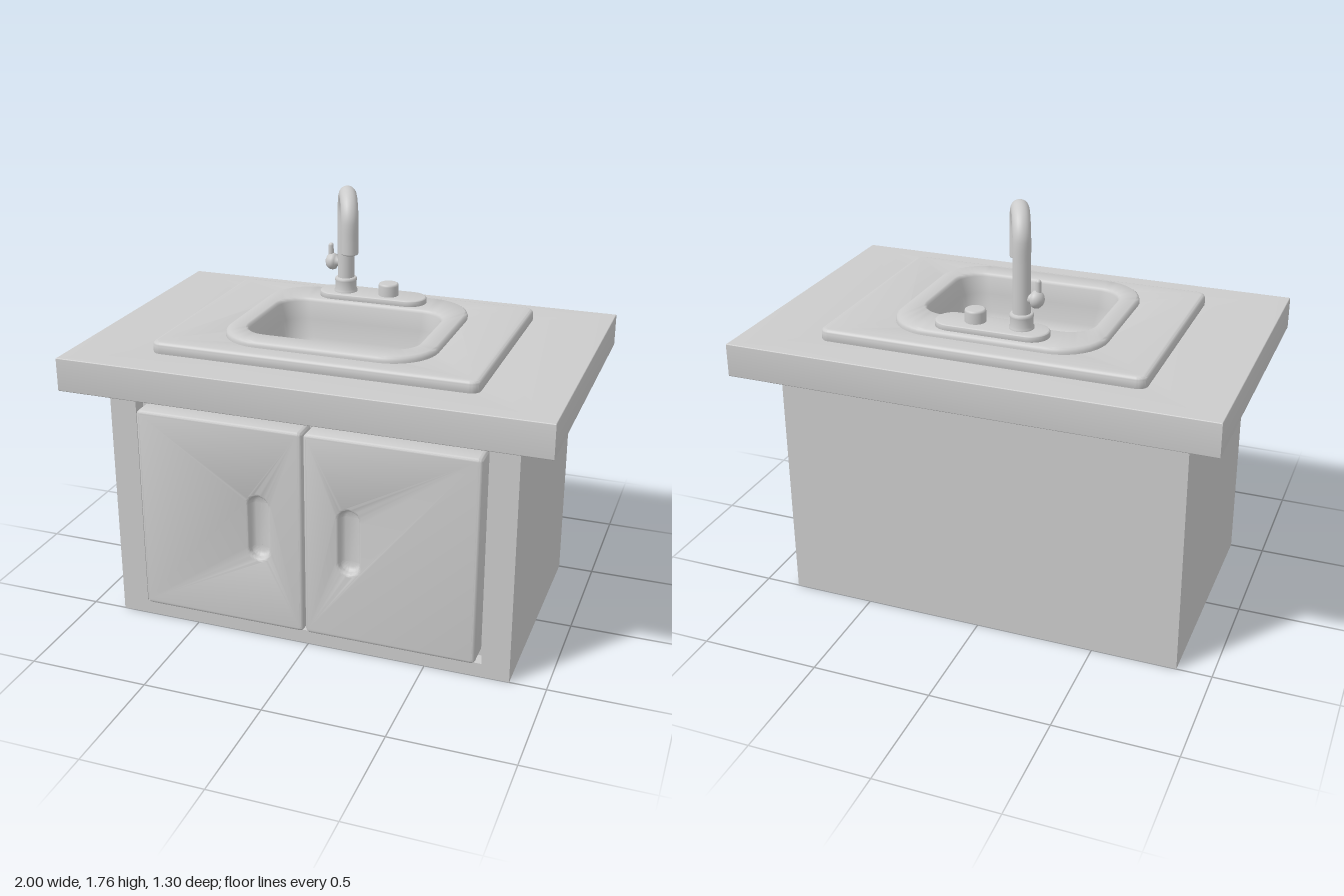
import * as THREE from 'three';
import { toCreasedNormals } from 'three/addons/utils/BufferGeometryUtils.js';

const material = new THREE.MeshStandardMaterial({ color: 0xcccccc });

function add(parent, name, geometry, x = 0, y = 0, z = 0) {
  const mesh = new THREE.Mesh(geometry, material);
  mesh.name = name;
  mesh.position.set(x, y, z);
  parent.add(mesh);
  return mesh;
}

// Counter-clockwise outline of a rounded rectangle
function outline(w, h, r, cx = 0, cy = 0, steps = 10) {
  const points = [];
  [[1, 1], [-1, 1], [-1, -1], [1, -1]].forEach(([sx, sy], corner) => {
    for (let i = 0; i <= steps; i++) {
      const a = (corner + i / steps) * Math.PI / 2;
      points.push(new THREE.Vector2(
        cx + sx * (w / 2 - r) + r * Math.cos(a),
        cy + sy * (h / 2 - r) + r * Math.sin(a)));
    }
  });
  return points;
}

// Slab of depth d from z = 0, with rounded edges b and an optional hole
function slab(points, d, b = 0, hole = null) {
  const shape = new THREE.Shape(points);
  if (hole) shape.holes.push(new THREE.Path(hole));
  const geometry = new THREE.ExtrudeGeometry(shape, {
    depth: d - 2 * b, bevelEnabled: b > 0, bevelThickness: b, bevelSize: b,
    bevelOffset: -b, bevelSegments: 5,
  });
  geometry.translate(0, 0, b);
  return toCreasedNormals(geometry, 0.6);
}

// Skin through rounded-rectangle rings [w, h, r, cy, z], from outside to inside
function loft(rings) {
  const position = [], index = [];
  let n = 0;
  for (const [w, h, r, cy, z] of rings) {
    const points = outline(w, h, r, 0, cy);
    n = points.length;
    points.forEach((p) => position.push(p.x, p.y, z));
  }
  for (let j = 0; j < rings.length - 1; j++) {
    for (let i = 0; i < n; i++) {
      const a = j * n + i, b = j * n + (i + 1) % n;
      index.push(a, b, a + n, b, b + n, a + n);
    }
  }
  const geometry = new THREE.BufferGeometry();
  geometry.setAttribute('position', new THREE.Float32BufferAttribute(position, 3));
  geometry.setIndex(index);
  return toCreasedNormals(geometry, 0.8);
}

const flat = (geometry) => geometry.rotateX(-Math.PI / 2);
const rect = (x0, y0, x1, y1) =>
  [[x0, y0], [x1, y0], [x1, y1], [x0, y1]].map(([x, y]) => new THREE.Vector2(x, y));
const lathe = (profile) =>
  new THREE.LatheGeometry(profile.map(([x, y]) => new THREE.Vector2(x, y)), 32);

function createCabinet() {
  const cabinet = new THREE.Group();
  cabinet.name = 'cabinet';
  add(cabinet, 'floor', new THREE.BoxGeometry(1.705, 0.06, 0.94), -0.0025, 0.03, -0.03);
  add(cabinet, 'backWall', new THREE.BoxGeometry(1.705, 1.05, 0.04), -0.0025, 0.525, -0.48);
  for (const s of [-1, 1])
    add(cabinet, 'sideWall', new THREE.BoxGeometry(0.04, 1.05, 0.94), -0.0025 + s * 0.8325, 0.525, -0.03);
  add(cabinet, 'frontFrame',
    slab(rect(-0.855, 0, 0.85, 1.05), 0.06, 0, rect(-0.74, 0.06, 0.735, 0.99)), 0, 0, 0.44);
  add(cabinet, 'innerPanel', new THREE.BoxGeometry(1.6, 1, 0.02), 0, 0.53, 0.43);

  // Doors with dished finger pulls
  for (const s of [-1, 1]) {
    const door = new THREE.Group();
    door.name = s < 0 ? 'rightDoor' : 'leftDoor';
    door.position.set(0.004 + s * 0.36, 0.527, 0.44);
    const pullX = -s * 0.168;
    add(door, 'doorPanel', slab(outline(0.714, 0.885, 0.022), 0.115, 0.015,
      outline(0.084, 0.275, 0.0419, pullX, 0)));
    add(door, 'fingerPull', loft([
      [0.09, 0.28, 0.0449, 0, 0.1], [0.084, 0.275, 0.0419, 0, 0.092],
      [0.072, 0.262, 0.0359, 0, 0.083], [0.05, 0.24, 0.0249, 0, 0.077],
      [0.001, 0.19, 0.0004, 0, 0.075],
    ]), pullX, 0, 0);
    cabinet.add(door);
  }
  return cabinet;
}

function createSink() {
  const sink = new THREE.Group();
  sink.name = 'sink';
  add(sink, 'surround', flat(slab(outline(1.35, 0.955, 0.04), 0.06, 0.018,
    outline(0.8, 0.64, 0.14, 0, -0.02))), 0, 1.175, -0.007);
  // Raised rim running over the lip and down into the bowl
  add(sink, 'bowl', flat(loft([
    [0.89, 0.79, 0.19, 0, 1.23], [0.89, 0.79, 0.19, 0, 1.243],
    [0.882, 0.782, 0.187, 0, 1.254], [0.865, 0.765, 0.18, 0, 1.26],
    [0.745, 0.525, 0.12, -0.04, 1.26], [0.73, 0.508, 0.112, -0.04, 1.256],
    [0.72, 0.498, 0.108, -0.04, 1.245], [0.705, 0.485, 0.105, -0.04, 1.17],
    [0.685, 0.465, 0.11, -0.04, 1.09], [0.65, 0.43, 0.12, -0.04, 1.035],
    [0.58, 0.36, 0.12, -0.04, 1.0], [0.48, 0.26, 0.1, -0.04, 0.985],
    [0.22, 0.001, 0.0004, -0.04, 0.98],
  ])));
  return sink;
}

function createFaucet() {
  const faucet = new THREE.Group();
  faucet.name = 'faucet';
  const x = -0.119, z = -0.295;
  add(faucet, 'deckPlate', flat(slab(outline(0.475, 0.145, 0.072), 0.035, 0.008)), 0.002, 1.25, -0.302);
  add(faucet, 'collar', lathe([
    [0.05, 0], [0.05, 0.012], [0.045, 0.018], [0.045, 0.05], [0.048, 0.054],
    [0.047, 0.063], [0.042, 0.068], [0.03, 0.068],
  ]), x, 1.28, z);
  add(faucet, 'knob', lathe([
    [0.043, 0], [0.043, 0.048], [0.041, 0.055], [0.035, 0.058], [0, 0.058],
  ]), 0.075, 1.28, z);

  // Gooseneck spout, swung towards the model's left
  const dir = new THREE.Vector3(0.084, 0, 0.188).normalize();
  const R = 0.103, top = 1.625;
  const at = (d, y) => new THREE.Vector3(x + dir.x * d, y, z + dir.z * d);
  const path = [at(0, 1.3), at(0, 1.45), at(0, 1.55)];
  for (let i = 0; i <= 14; i++) {
    const a = Math.PI * i / 14;
    path.push(at(R - R * Math.cos(a), top + R * Math.sin(a)));
  }
  path.push(at(2 * R, 1.56), at(2 * R, 1.508));
  add(faucet, 'spout', new THREE.TubeGeometry(new THREE.CatmullRomCurve3(path), 80, 0.036, 24));
  const tip = at(2 * R, 1.508);
  add(faucet, 'spoutTip', new THREE.SphereGeometry(0.036, 24, 12), tip.x, tip.y, tip.z).scale.y = 0.3;

  // Side valve with its upright lever
  const valve = lathe([
    [0.02, 0], [0.02, 0.03], [0.032, 0.036], [0.036, 0.048], [0.034, 0.062],
    [0.024, 0.074], [0.012, 0.08], [0, 0.081],
  ]).rotateZ(Math.PI / 2);
  add(faucet, 'valve', valve, x - 0.01, 1.41, z);
  add(faucet, 'lever', new THREE.CapsuleGeometry(0.011, 0.075, 6, 16), x - 0.068, 1.443, z);
  return faucet;
}

export function createModel() {
  const model = new THREE.Group();
  model.name = 'sinkCabinet';
  model.add(createCabinet());
  add(model, 'countertop', flat(slab(rect(-1, -0.65, 1, 0.65), 0.14, 0.004,
    outline(0.82, 0.66, 0.14, 0, -0.02))), 0, 1.048, 0);
  model.add(createSink(), createFaucet());
  return model;
}
